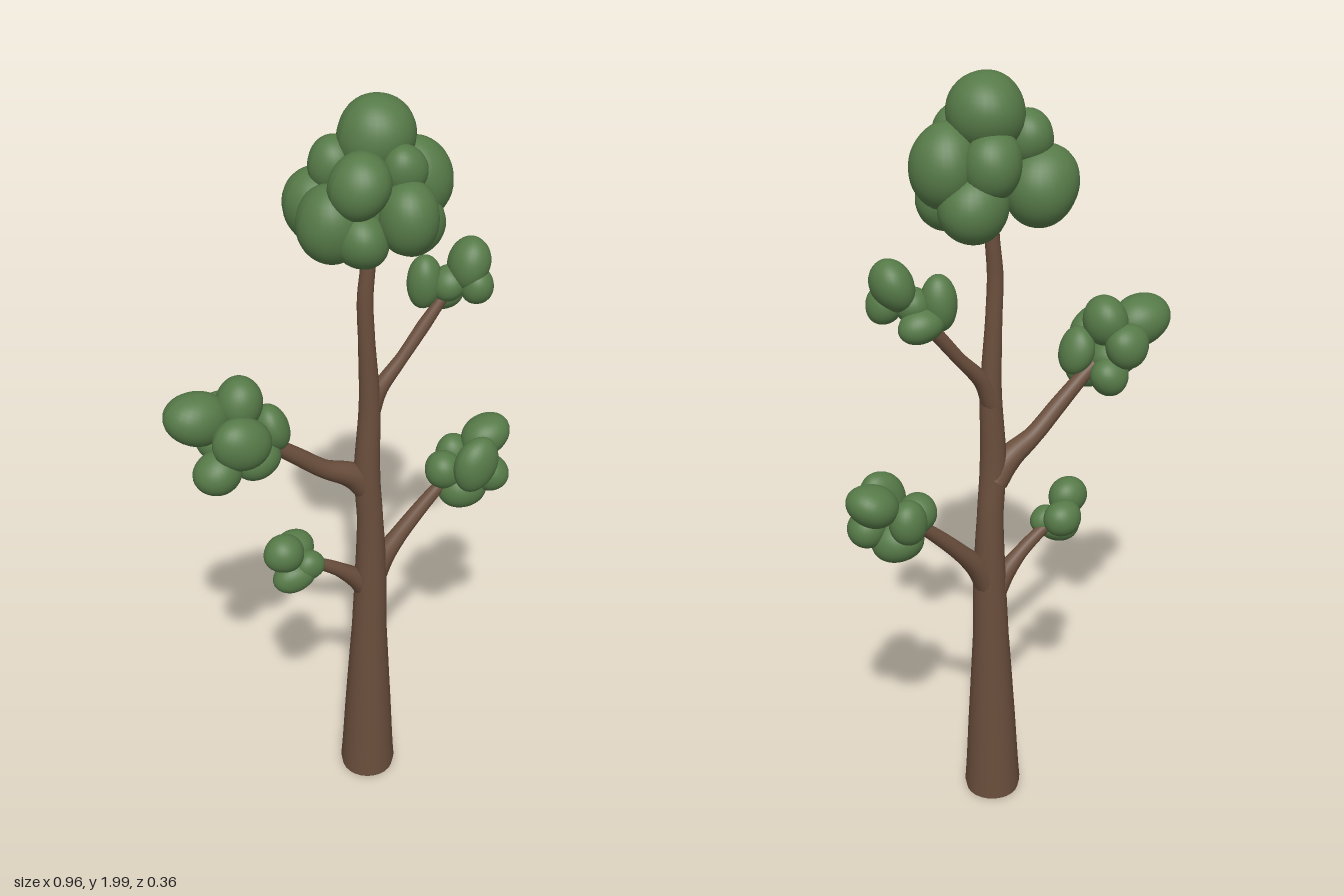
import * as THREE from 'three';

const bark = new THREE.MeshStandardMaterial({ color: 0x6b4f3d });
bark.name = 'bark brown';
const leaf = new THREE.MeshStandardMaterial({ color: 0x567a48 });
leaf.name = 'leaf green';

// Tapered limb through [x, y, radius] stations at a constant depth
function limb(name, stations, z, radial) {
  const curve = new THREE.CatmullRomCurve3(stations.map(([x, y]) => new THREE.Vector3(x, y, z)));
  const steps = stations.length * 6;
  const geo = new THREE.TubeGeometry(curve, steps, 1, radial, false);
  const pos = geo.attributes.position;
  const centre = new THREE.Vector3();
  const v = new THREE.Vector3();
  for (let i = 0; i <= steps; i++) {
    const u = i / steps;
    curve.getPointAt(u, centre);
    const t = curve.getUtoTmapping(u) * (stations.length - 1);
    const k = Math.min(Math.floor(t), stations.length - 2);
    const r = THREE.MathUtils.lerp(stations[k][2], stations[k + 1][2], t - k);
    for (let j = 0; j <= radial; j++) {
      const n = i * (radial + 1) + j;
      v.fromBufferAttribute(pos, n).sub(centre).multiplyScalar(r).add(centre);
      pos.setXYZ(n, v.x, v.y, v.z);
    }
  }
  const mesh = new THREE.Mesh(geo, bark);
  mesh.name = name;
  return mesh;
}

// Softly lumpy ball; the seed varies the bumps
function blobGeometry(seed) {
  const geo = new THREE.SphereGeometry(1, 28, 20);
  const pos = geo.attributes.position;
  const v = new THREE.Vector3();
  for (let i = 0; i < pos.count; i++) {
    v.fromBufferAttribute(pos, i);
    const bump = Math.sin(2.3 * v.x + seed) * Math.sin(2.1 * v.y + seed * 1.7) + Math.sin(2.5 * v.z + seed * 2.3) * 0.6;
    v.multiplyScalar(1 + 0.05 * bump);
    pos.setXYZ(i, v.x, v.y, v.z);
  }
  geo.computeVertexNormals();
  return geo;
}

// Cluster of blobs: [x, y, z, rx, ry, rz, tilt]
function cluster(name, blobs) {
  const group = new THREE.Group();
  group.name = name;
  blobs.forEach(([x, y, z, rx, ry, rz, tilt = 0], i) => {
    const mesh = new THREE.Mesh(blobGeometry(i * 1.9 + x * 7), leaf);
    mesh.name = 'leafBlob';
    mesh.position.set(x, y, z);
    mesh.scale.set(rx, ry, rz);
    mesh.rotation.z = tilt;
    group.add(mesh);
  });
  return group;
}

export function createModel() {
  const tree = new THREE.Group();
  tree.name = 'tree';

  // Trunk with a closed base
  tree.add(limb('trunk', [
    [0.057, 0.005, 0.07], [0.057, 0.03, 0.075], [0.058, 0.25, 0.062], [0.06, 0.5, 0.047], [0.063, 0.68, 0.042],
    [0.06, 0.85, 0.034], [0.05, 1.0, 0.034], [0.056, 1.2, 0.027], [0.047, 1.38, 0.021],
    [0.042, 1.5, 0.02], [0.05, 1.6, 0.018], [0.05, 1.75, 0.015],
  ], -0.012, 24));
  const base = new THREE.Mesh(new THREE.CircleGeometry(0.07, 24), bark);
  base.name = 'trunkBase';
  base.rotation.x = Math.PI / 2;
  base.position.set(0.057, 0.005, -0.012);
  tree.add(base);

  // Branches
  tree.add(
    limb('lowerRightBranch', [[0.06, 0.62, 0.035], [0.02, 0.67, 0.027], [-0.03, 0.715, 0.019], [-0.09, 0.755, 0.016], [-0.16, 0.79, 0.012]], -0.018, 14),
    limb('lowerLeftBranch', [[0.065, 0.64, 0.035], [0.1, 0.71, 0.03], [0.15, 0.77, 0.023], [0.24, 0.86, 0.018], [0.32, 0.93, 0.013]], -0.015, 14),
    limb('upperRightBranch', [[0.05, 0.95, 0.034], [0.01, 1.0, 0.034], [-0.07, 1.045, 0.024], [-0.15, 1.11, 0.022], [-0.22, 1.165, 0.019], [-0.3, 1.22, 0.014]], -0.018, 14),
    limb('upperLeftBranch', [[0.056, 1.17, 0.027], [0.085, 1.235, 0.021], [0.15, 1.31, 0.016], [0.21, 1.385, 0.017], [0.28, 1.47, 0.012]], -0.015, 14),
  );

  // Foliage
  tree.add(
    cluster('crown', [
      [0.075, 1.905, -0.03, 0.092, 0.092, 0.092],
      [0.175, 1.79, -0.005, 0.078, 0.1, 0.085],
      [-0.035, 1.73, -0.09, 0.09, 0.095, 0.088],
      [-0.06, 1.725, 0.005, 0.082, 0.095, 0.085],
      [0.09, 1.75, 0.1, 0.073, 0.09, 0.075],
      [-0.012, 1.83, 0.06, 0.073, 0.078, 0.075],
      [0.135, 1.7, -0.06, 0.085, 0.085, 0.08],
      [0.14, 1.7, 0.04, 0.075, 0.08, 0.07],
      [-0.01, 1.7, 0.07, 0.065, 0.07, 0.065],
      [-0.015, 1.84, -0.065, 0.06, 0.065, 0.06],
      [0.1, 1.8, -0.09, 0.07, 0.08, 0.065],
      [0.1, 1.85, 0.06, 0.055, 0.06, 0.05],
      [0.05, 1.76, 0, 0.1, 0.1, 0.1],
    ]),
    cluster('upperRightLeaves', [
      [-0.4, 1.285, -0.03, 0.083, 0.066, 0.068, -0.25],
      [-0.295, 1.305, -0.02, 0.058, 0.066, 0.06, 0.2],
      [-0.32, 1.25, -0.075, 0.06, 0.06, 0.05],
      [-0.33, 1.245, 0.065, 0.073, 0.066, 0.055, -0.1],
      [-0.225, 1.23, 0.01, 0.042, 0.062, 0.052, 0.2],
      [-0.385, 1.17, 0.05, 0.06, 0.055, 0.055],
      [-0.275, 1.165, 0.03, 0.06, 0.052, 0.05],
      [-0.28, 1.17, -0.06, 0.05, 0.05, 0.048],
      [-0.33, 1.21, -0.02, 0.08, 0.06, 0.06],
    ]),
    cluster('upperLeftLeaves', [
      [0.325, 1.535, -0.005, 0.05, 0.068, 0.058, -0.25],
      [0.228, 1.485, -0.05, 0.043, 0.068, 0.045, -0.15],
      [0.28, 1.44, -0.055, 0.058, 0.042, 0.045],
      [0.335, 1.48, 0.02, 0.043, 0.048, 0.042],
      [0.28, 1.48, -0.02, 0.045, 0.045, 0.045],
    ]),
    cluster('lowerLeftLeaves', [
      [0.412, 0.995, -0.03, 0.068, 0.052, 0.06, 0.5],
      [0.345, 0.965, 0.045, 0.06, 0.078, 0.045, -0.4],
      [0.285, 0.93, -0.02, 0.05, 0.052, 0.05],
      [0.335, 0.87, -0.01, 0.07, 0.058, 0.06],
      [0.335, 0.94, -0.06, 0.05, 0.06, 0.042],
      [0.4, 0.91, 0.025, 0.05, 0.05, 0.05],
    ]),
    cluster('lowerRightLeaves', [
      [-0.192, 0.828, -0.005, 0.055, 0.052, 0.045, -0.3],
      [-0.14, 0.8, -0.055, 0.052, 0.048, 0.045],
      [-0.165, 0.75, -0.01, 0.06, 0.042, 0.045, 0.2],
      [-0.125, 0.775, 0, 0.042, 0.04, 0.035],
    ]),
  );
  return tree;
}
